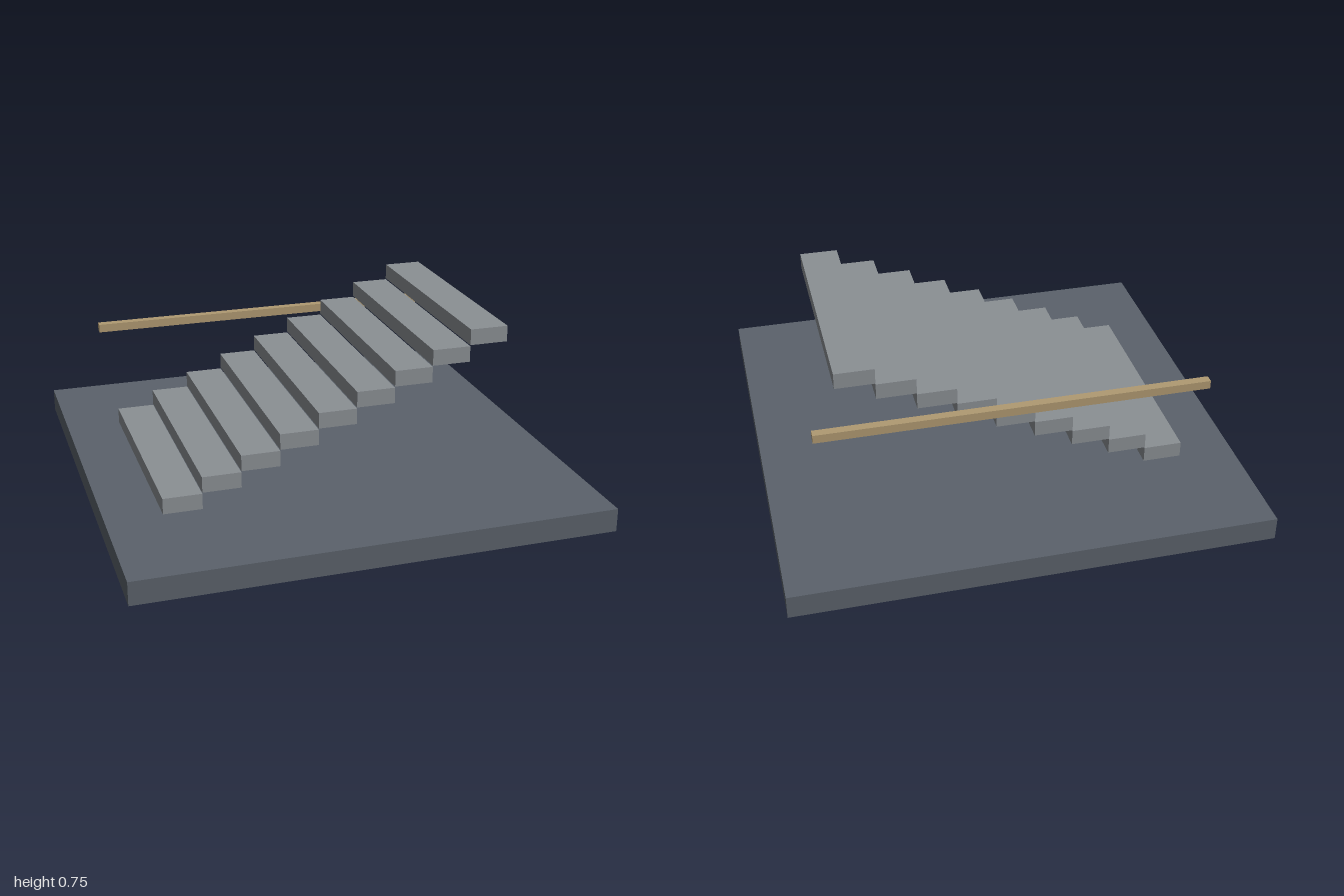
import * as THREE from 'three';

export function createModel() {
  const model = new THREE.Group();
  const slate = new THREE.MeshStandardMaterial({ color: 0x5b626b });
  slate.name = 'slate';
  const stone = new THREE.MeshStandardMaterial({ color: 0x8b9094 });
  stone.name = 'stone';
  const wood = new THREE.MeshStandardMaterial({ color: 0xb09a72 });
  wood.name = 'wood';

  const addBox = (name, size, position, material) => {
    const mesh = new THREE.Mesh(new THREE.BoxGeometry(...size), material);
    mesh.name = name;
    mesh.position.set(...position);
    model.add(mesh);
  };

  // Square floor slab
  addBox('floor', [2, 0.1, 2], [0, 0.05, 0], slate);

  // Floating treads climbing towards +x
  const run = 0.1636, rise = 0.0725;
  for (let i = 0; i < 9; i++) {
    addBox(`step${i + 1}`, [run, 0.068, 1], [-0.682 + i * run, 0.134 + i * rise, 0], stone);
  }

  // Level handrail behind the steps
  addBox('handrail', [1.636, 0.0364, 0.0364], [0, 0.538, -0.6], wood);

  return model;
}
